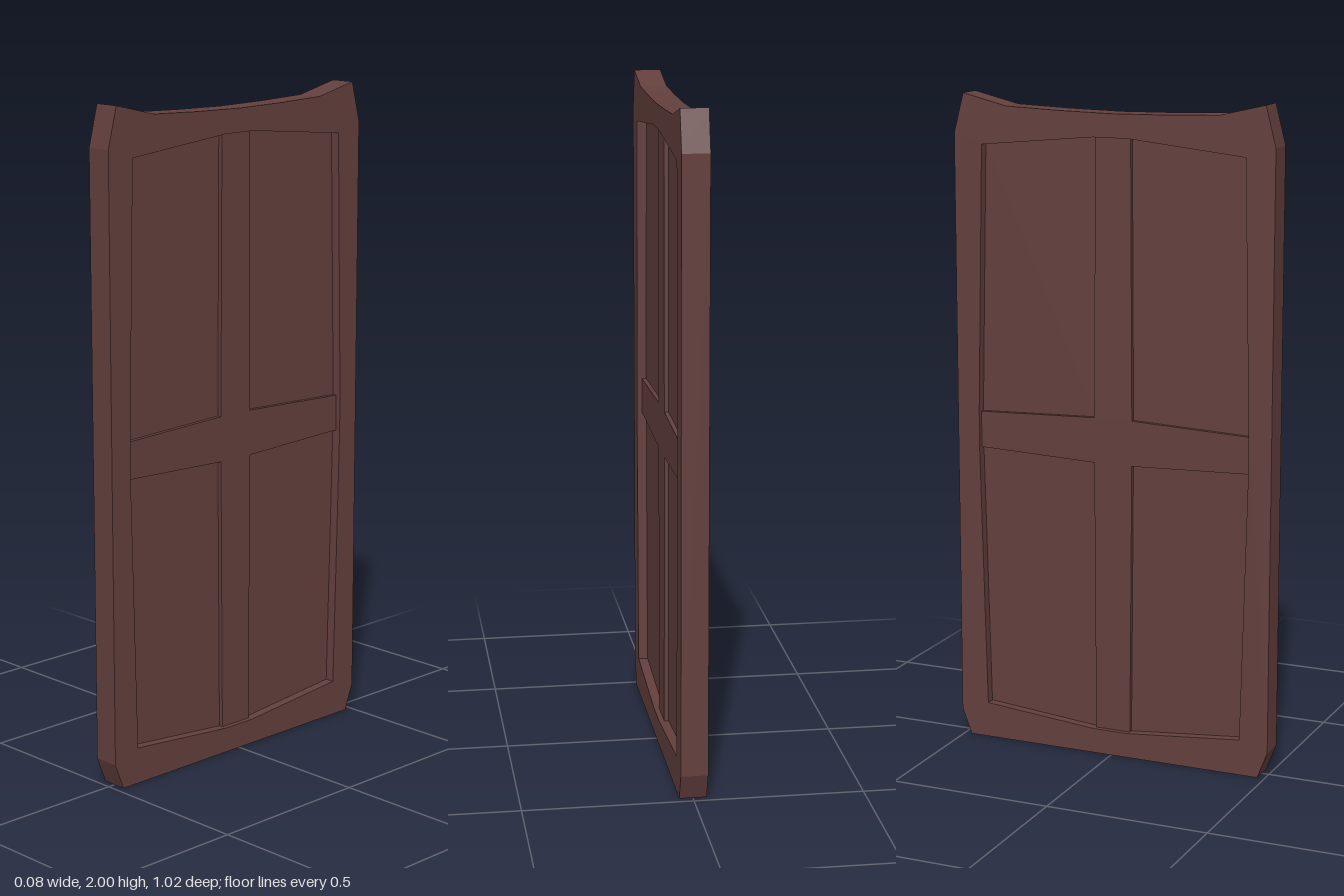
import * as THREE from 'three';

// Mirrors a right-hand profile (bottom to top) into a closed symmetric outline.
function mirrored(half) {
  const left = half.filter(([x]) => x > 0).map(([x, y]) => [-x, y]).reverse();
  return [...half, ...left].map(([x, y]) => new THREE.Vector2(x, y));
}

// Extrudes an outline to a slab centred on x = 0, lying in the z-y plane.
function slab(name, outline, thickness, material, hole) {
  const shape = new THREE.Shape(outline);
  if (hole) shape.holes.push(new THREE.Path(hole));
  const geometry = new THREE.ExtrudeGeometry(shape, { depth: thickness, bevelEnabled: false });
  geometry.translate(0, 0, -thickness / 2);
  geometry.rotateY(Math.PI / 2);
  const mesh = new THREE.Mesh(geometry, material);
  mesh.name = name;
  return mesh;
}

export function createModel() {
  const door = new THREE.Group();
  door.name = 'door';
  const wood = new THREE.MeshStandardMaterial({ color: 0x633f3d });
  wood.name = 'dark reddish wood';

  // Outer frame with clipped corners and a sagging top edge
  const outer = mirrored([
    [0.477, 0], [0.508, 0.08], [0.508, 1.88], [0.477, 2],
    [0.335, 1.966], [0.17, 1.96], [0, 1.957],
  ]);
  // Opening bulging slightly at the middle of each side
  const opening = mirrored([
    [0.056, 0.077], [0.418, 0.11], [0.437, 0.925],
    [0.437, 1.036], [0.418, 1.85], [0.056, 1.887],
  ]);
  door.add(slab('frame', outer, 0.08, wood, opening));

  // Cross rails, thicker toward the middle
  const cross = mirrored([
    [0.056, 0.077], [0.061, 0.912], [0.437, 0.925],
    [0.437, 1.036], [0.061, 1.05], [0.056, 1.887],
  ]);
  door.add(slab('crossRails', cross, 0.048, wood));

  // Recessed panels filling the four openings
  for (const side of [-1, 1]) {
    for (const [name, y0, y1, ySide0, ySide1] of [
      ['lowerPanel', 0.077, 0.912, 0.11, 0.925],
      ['upperPanel', 1.05, 1.887, 1.036, 1.85],
    ]) {
      const lower = name === 'lowerPanel';
      const points = [
        [0.056 + (lower ? 0 : 0.005), y0],
        [lower ? 0.418 : 0.437, ySide0],
        [lower ? 0.437 : 0.418, ySide1],
        [0.056 + (lower ? 0.005 : 0), y1],
      ].map(([x, y]) => new THREE.Vector2(side * x, y));
      door.add(slab(name, points, 0.022, wood));
    }
  }
  return door;
}
